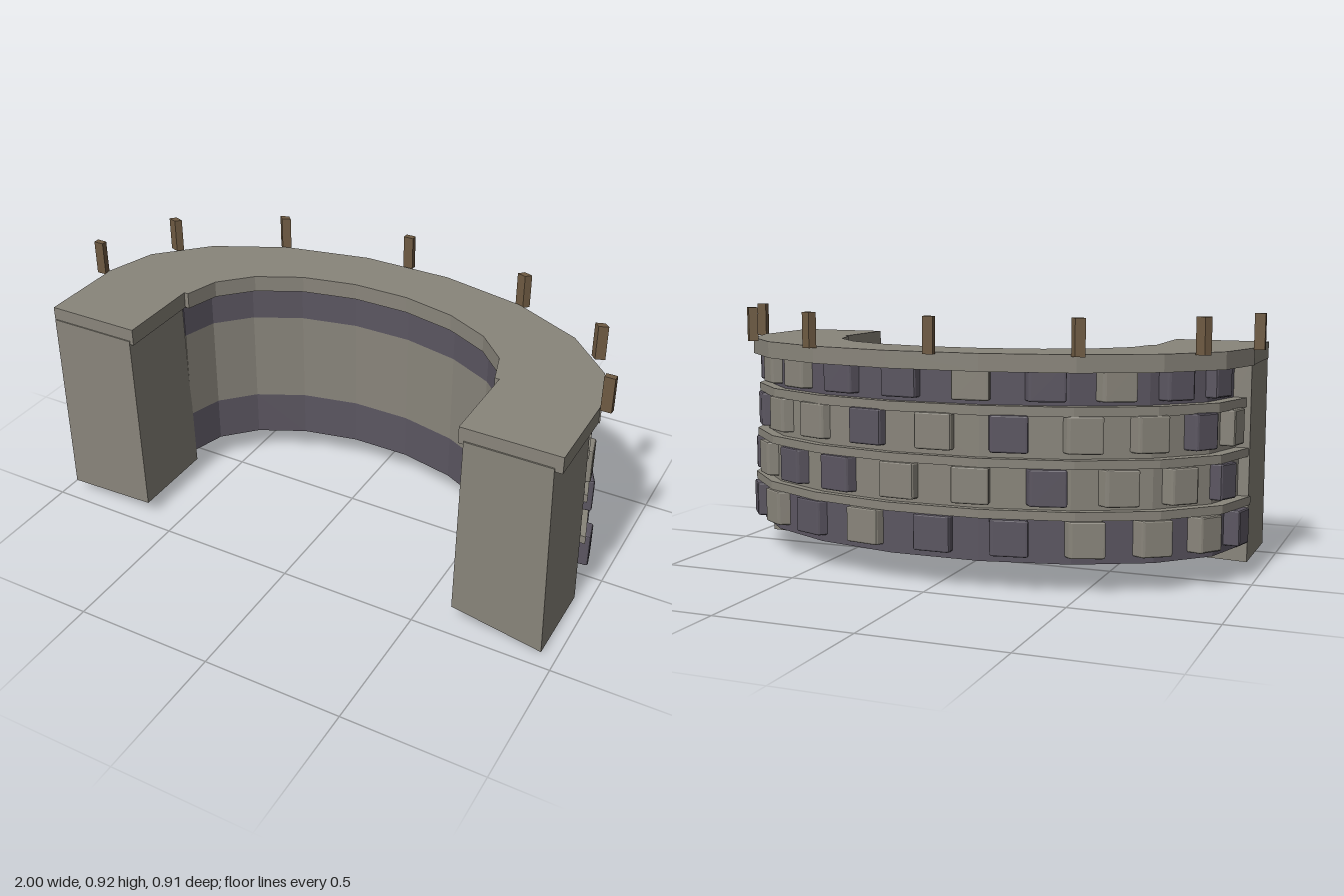
import * as THREE from 'three';
import { RoundedBoxGeometry } from 'three/addons/geometries/RoundedBoxGeometry.js';

const mat = (name, color) => {
  const m = new THREE.MeshStandardMaterial({ color, flatShading: true });
  m.name = name;
  return m;
};

// Half ring with nine flat sides, from height y0 to y1
function halfRing(inner, outer, y0, y1) {
  const pts = [];
  const n = 9;
  for (let i = 0; i <= n; i++) {
    const t = -Math.PI / 2 + (Math.PI * i) / n;
    pts.push(new THREE.Vector2(outer * Math.sin(t), outer * Math.cos(t)));
  }
  for (let i = n; i >= 0; i--) {
    const t = -Math.PI / 2 + (Math.PI * i) / n;
    pts.push(new THREE.Vector2(inner * Math.sin(t), inner * Math.cos(t)));
  }
  const geo = new THREE.ExtrudeGeometry(new THREE.Shape(pts), { depth: y1 - y0, bevelEnabled: false });
  return geo.rotateX(-Math.PI / 2).translate(0, y0, 0);
}

// Rough-hewn block: corner(sx, sy, sz) gives the position of each corner
function hewnBlock(corner) {
  const geo = new THREE.BoxGeometry(2, 2, 2);
  const p = geo.attributes.position;
  for (let i = 0; i < p.count; i++) {
    p.setXYZ(i, ...corner(p.getX(i), p.getY(i), p.getZ(i)));
  }
  geo.computeVertexNormals();
  return geo;
}

export function createModel() {
  const model = new THREE.Group();
  model.name = 'curvedWall';
  const stone = mat('greyStone', 0x89857b);
  const dark = mat('darkStone', 0x5b5661);
  const wood = mat('brownWood', 0x6e5a42);

  const add = (parent, name, geo, material) => {
    const m = new THREE.Mesh(geo, material);
    m.name = name;
    parent.add(m);
    return m;
  };

  // The curve is a half circle stretched sideways
  const arc = new THREE.Group();
  arc.name = 'arc';
  arc.scale.x = 1.68;
  arc.position.z = 0.138;
  model.add(arc);

  // Wall courses, slightly stepped inward towards the top
  const levels = [0.1, 0.27, 0.44, 0.615, 0.745];
  const radii = [0.553, 0.547, 0.54, 0.533];
  radii.forEach((r, i) => {
    add(arc, 'wallCourse', halfRing(0.372, r, levels[i], levels[i + 1]), i === 0 || i === 3 ? dark : stone);
  });

  // Ledges between the courses
  [[0.25, 0.28, 0.573], [0.42, 0.45, 0.567], [0.592, 0.625, 0.56]].forEach(([y0, y1, r]) => {
    add(arc, 'ledge', halfRing(0.5, r, y0, y1), stone);
  });

  // Walkway slab on top
  add(arc, 'walkway', halfRing(0.357, 0.573, 0.737, 0.797), stone);

  // Facing stones; odd rows are shifted by half a stone (D dark, L light)
  const block = new RoundedBoxGeometry(0.08, 0.126, 0.06, 1, 0.006);
  const rows = ['DDLDLDDLLLD', 'DLDDLLDLLD', 'LDLLDLDLLDL', 'DLLDDLDLDD'];
  const rowY = [0.187, 0.357, 0.532, 0.702];
  const rowR = [0.577, 0.57, 0.562, 0.555];
  rows.forEach((row, k) => {
    [...row].forEach((c, i) => {
      const t = ((row.length - 1) / 2 - i) * (Math.PI / 11);
      const r = rowR[k] - 0.03;
      const m = add(arc, 'facingStone', block, c === 'D' ? dark : stone);
      m.position.set(r * Math.sin(t), rowY[k], -r * Math.cos(t));
      m.rotation.y = -t;
    });
  });

  // Posts around the outer rim
  const postGeo = new THREE.BoxGeometry(0.022, 0.125, 0.022);
  for (let i = -3; i <= 3; i++) {
    const t = (i * Math.PI) / 6;
    const m = add(arc, 'post', postGeo, wood);
    m.position.set(0.583 * Math.sin(t), 0.8535, -0.583 * Math.cos(t));
    m.rotation.y = -t;
  }

  // End pillars with uneven undersides
  add(model, 'leftPillar', hewnBlock((x, y, z) => {
    const outer = x > 0, front = z > 0;
    if (y > 0) return [outer ? 0.932 : 0.635, 0.75, front ? 0.455 : 0.135];
    const h = outer ? (front ? 0.012 : 0.006) : (front ? 0.07 : 0);
    return [outer ? 0.948 : 0.622, h, front ? 0.447 : 0.133];
  }), stone);
  add(model, 'rightPillar', hewnBlock((x, y, z) => {
    const outer = x < 0, front = z > 0;
    if (y > 0) return [outer ? -0.955 : -0.63, 0.75, front ? 0.454 : 0.135];
    return [outer ? -0.957 : -0.62, outer ? 0.045 : 0.057, front ? 0.456 : 0.133];
  }), stone);

  // Slabs capping the pillars
  for (const s of [-1, 1]) {
    const m = add(model, 'pillarCap', new THREE.BoxGeometry(0.342, 0.06, 0.318), stone);
    m.position.set(s * 0.787, 0.767, 0.291);
  }
  return model;
}
